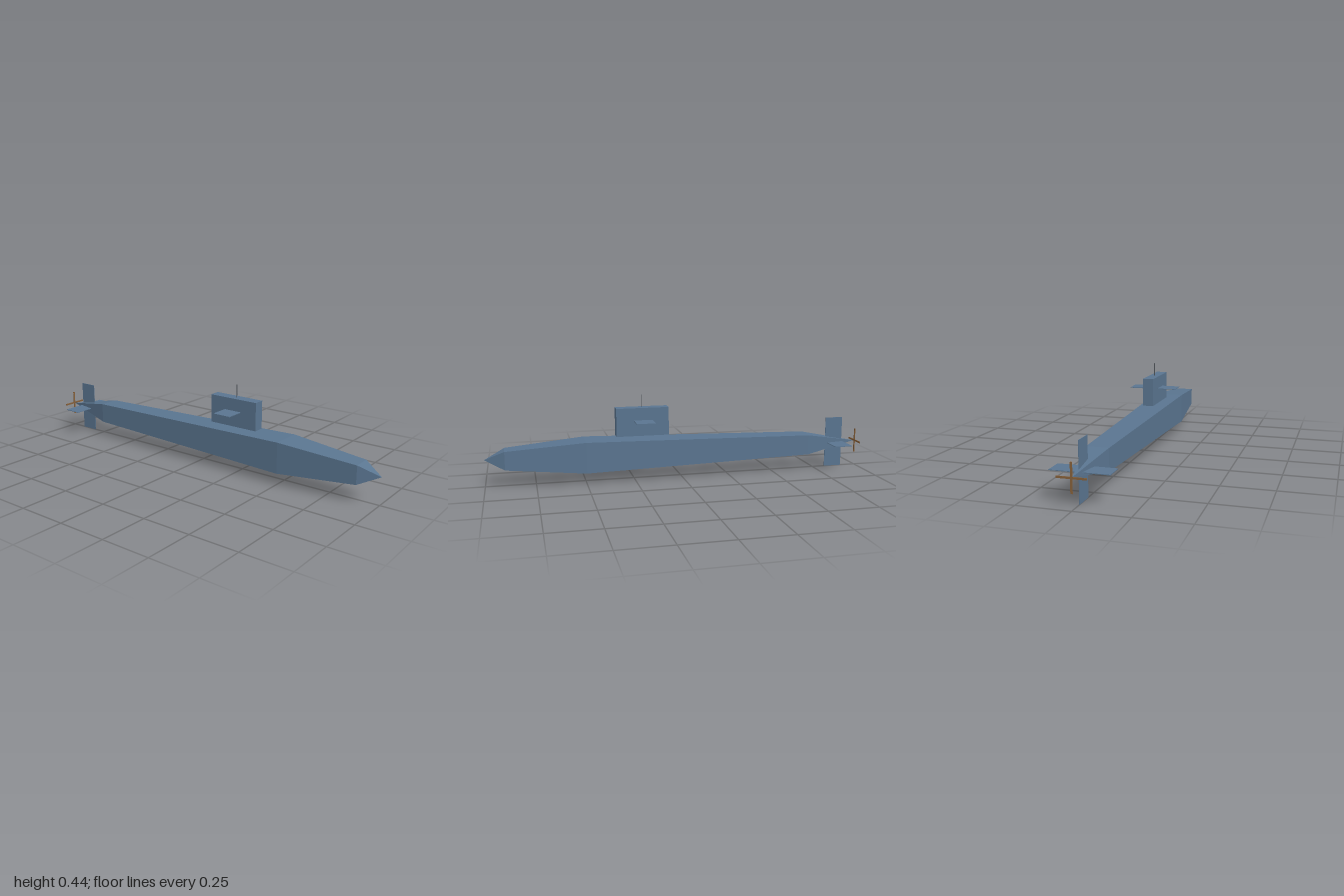
import * as THREE from 'three';

const mat = (name, color) => {
  const m = new THREE.MeshStandardMaterial({ color, flatShading: true });
  m.name = name;
  return m;
};

export function createModel() {
  const model = new THREE.Group();
  model.name = 'submarine';
  const steel = mat('steel blue', 0x5a7590);
  const bronze = mat('bronze', 0x86603a);
  const grey = mat('mast grey', 0x555a60);
  const axisY = 0.137;

  const add = (name, geometry, material, x, y, z) => {
    const mesh = new THREE.Mesh(geometry, material);
    mesh.name = name;
    mesh.position.set(x, y, z);
    model.add(mesh);
    return mesh;
  };
  const box = (name, material, w, h, d, x, y, z) =>
    add(name, new THREE.BoxGeometry(w, h, d), material, x, y, z);

  // Square-section hull: [half width, z] from stern to bow
  const stations = [[0, -0.99], [0.053, -0.7], [0.079, 0.5], [0.047, 0.9], [0, 1]];
  const profile = stations.map(([r, z]) => new THREE.Vector2(r * Math.SQRT2, z));
  const hull = new THREE.LatheGeometry(profile, 4, Math.PI / 4).rotateX(Math.PI / 2);
  add('hull', hull, steel, 0, axisY, 0);

  // Sail with its diving planes and mast
  box('sail', steel, 0.056, 0.145, 0.272, 0, 0.2995, 0.205);
  box('sailPlanes', steel, 0.25, 0.003, 0.097, 0, 0.307, 0.203);
  add('periscope', new THREE.CylinderGeometry(0.002, 0.002, 0.068, 6), grey, 0.004, 0.404, 0.205);

  // Cross-shaped tail fins
  box('rudder', steel, 0.003, 0.272, 0.097, 0, 0.136, -0.868);
  box('sternPlanes', steel, 0.27, 0.003, 0.097, 0, axisY, -0.868);

  // Four-bladed propeller
  for (let i = 0; i < 2; i++) {
    const blades = box('propellerBlades', bronze, 0.132, 0.009, 0.004, 0, axisY, -0.997);
    blades.rotation.z = i * Math.PI / 2;
  }
  return model;
}
